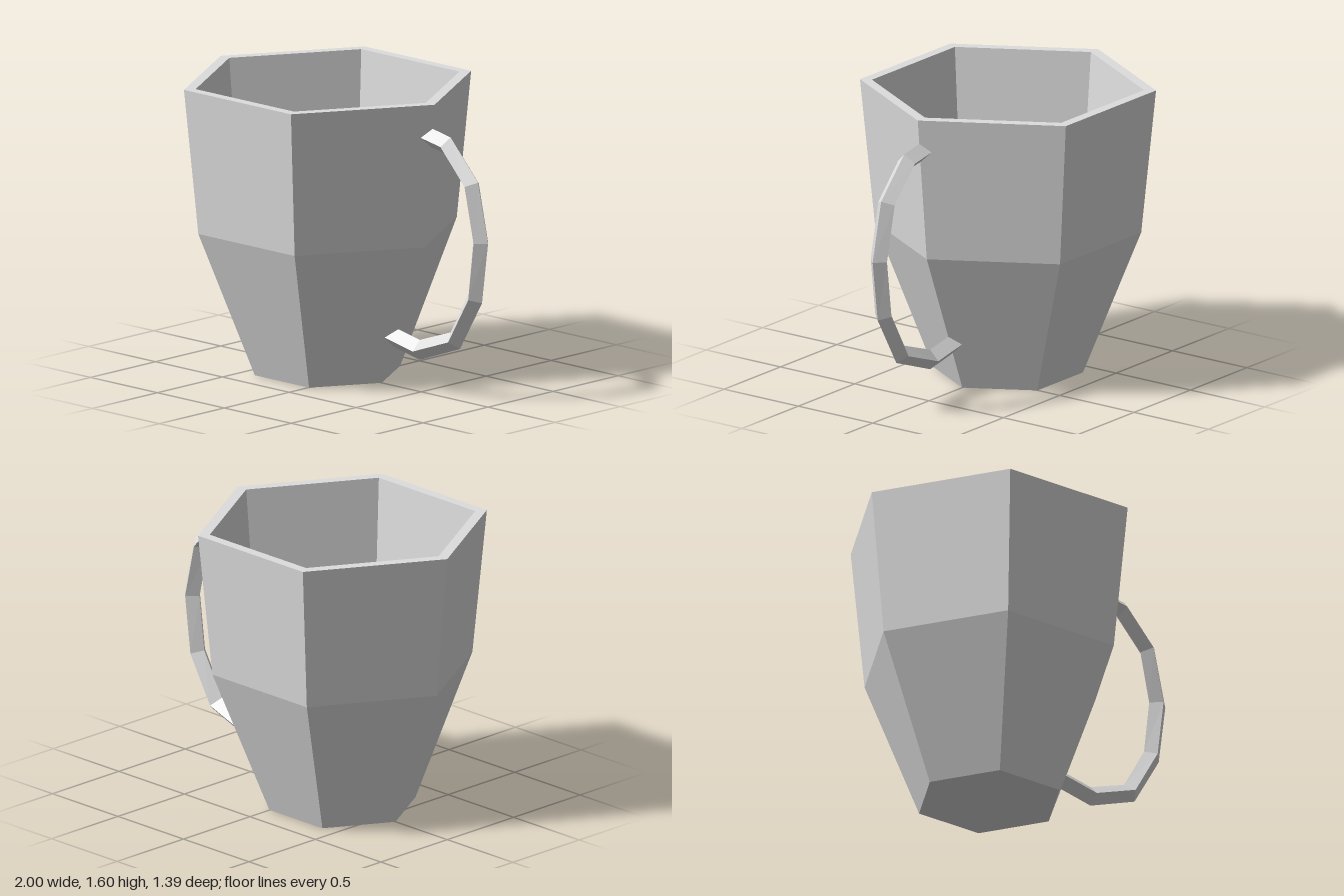
import * as THREE from 'three';

// Diamond-section bar: each station is [outerX, outerY, innerX, innerY], listed top to bottom
function diamondBar(stations, halfWidth) {
  const positions = [];
  const index = [];
  for (const [ox, oy, ix, iy] of stations) {
    const mx = (ox + ix) / 2, my = (oy + iy) / 2;
    positions.push(ox, oy, 0, mx, my, halfWidth, ix, iy, 0, mx, my, -halfWidth);
  }
  for (let s = 0; s < stations.length - 1; s++) {
    for (let k = 0; k < 4; k++) {
      const a = s * 4 + k, b = s * 4 + (k + 1) % 4;
      index.push(a, b, b + 4, a, b + 4, a + 4);
    }
  }
  // end caps
  const e = (stations.length - 1) * 4;
  index.push(0, 2, 1, 0, 3, 2, e, e + 1, e + 2, e, e + 2, e + 3);
  const geometry = new THREE.BufferGeometry();
  geometry.setAttribute('position', new THREE.Float32BufferAttribute(positions, 3));
  geometry.setIndex(index);
  const flat = geometry.toNonIndexed();
  flat.computeVertexNormals();
  return flat;
}

export function createModel() {
  const group = new THREE.Group();
  group.name = 'mug';
  const ceramic = new THREE.MeshStandardMaterial({ color: 0xdddddd });
  ceramic.name = 'pale grey ceramic';
  ceramic.flatShading = true;

  // Hexagonal cup: underside, outer wall, rim, inner wall, inner floor
  const profile = [
    [0, 0], [0.405, 0], [0.72, 0.8], [0.8, 1.6],
    [0.735, 1.6], [0.66, 0.8], [0, 0.8],
  ].map(([r, y]) => new THREE.Vector2(r, y));
  const cup = new THREE.Mesh(new THREE.LatheGeometry(profile, 6, Math.PI / 2), ceramic);
  cup.name = 'cup';
  cup.position.x = -0.2;
  group.add(cup);

  // Faceted handle, its ends sunk slightly into the wall
  const handle = new THREE.Mesh(diamondBar([
    [0.545, 1.473, 0.535, 1.368],
    [0.72, 1.44, 0.675, 1.345],
    [0.925, 1.225, 0.83, 1.18],
    [1.0, 0.9, 0.89, 0.9],
    [0.955, 0.565, 0.855, 0.6],
    [0.79, 0.285, 0.72, 0.365],
    [0.49, 0.175, 0.49, 0.285],
    [0.265, 0.22, 0.29, 0.325],
  ], 0.055), ceramic);
  handle.name = 'handle';
  group.add(handle);

  return group;
}
